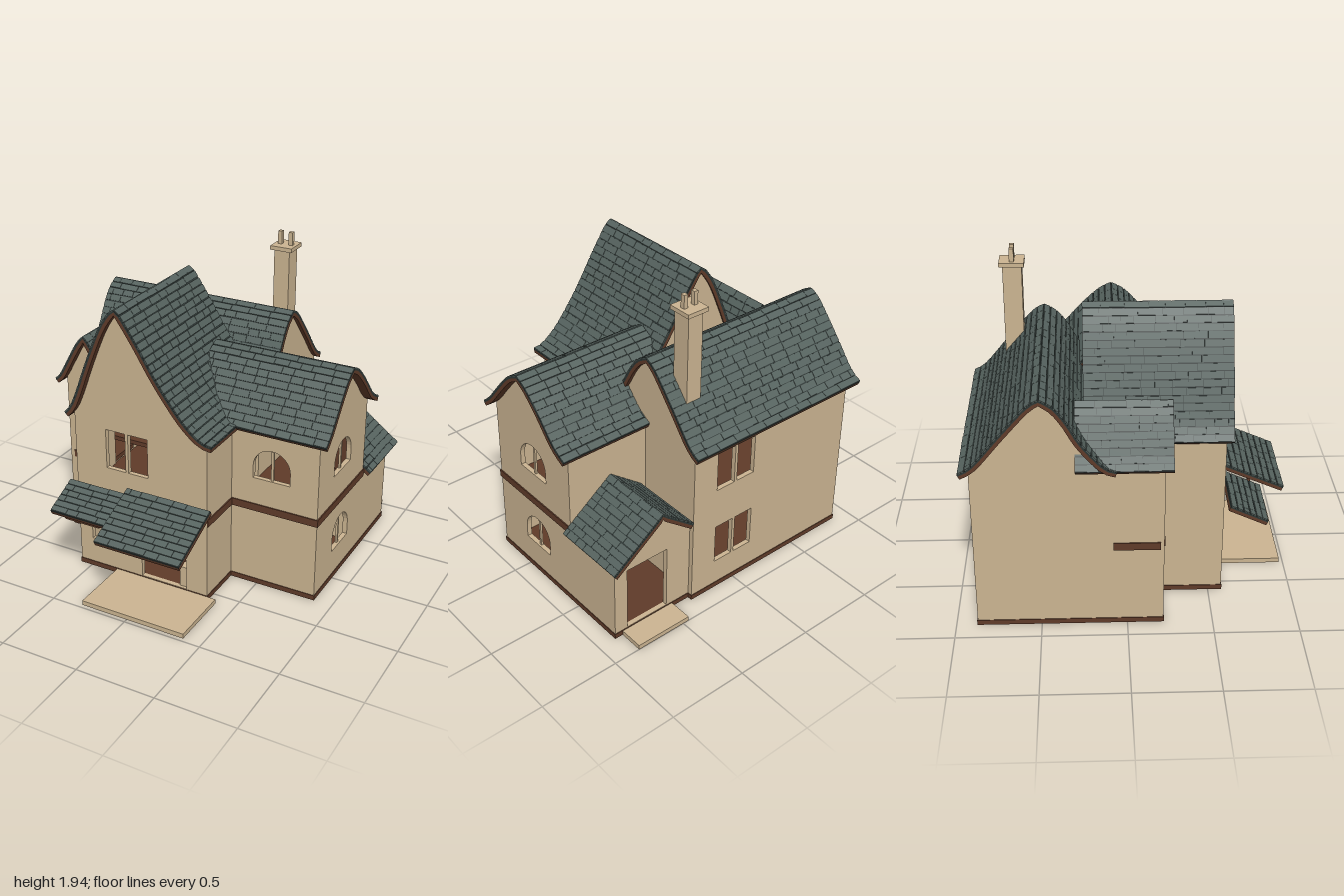
import * as THREE from 'three';
import { mergeGeometries } from 'three/addons/utils/BufferGeometryUtils.js';

const mat = (name, color) => Object.assign(new THREE.MeshStandardMaterial({ color }), { name });

export function createModel() {
  const house = new THREE.Group();
  house.name = 'house';
  const stone = mat('tan stone', 0xcbb491);
  const timber = mat('brown timber', 0x5f3b29);
  const slate = mat('slate', 0x56635f);
  const joint = mat('dark slate joint', 0x2e3735);

  let seed = 7;
  const rand = () => (seed = (seed * 16807) % 2147483647) / 2147483647;

  const add = (name, geo, material, parent = house) => {
    const m = new THREE.Mesh(geo, material);
    m.name = name;
    parent.add(m);
    return m;
  };
  // box given by its limits
  const box = (name, x0, x1, y0, y1, z0, z1, material) =>
    add(name, new THREE.BoxGeometry(x1 - x0, y1 - y0, z1 - z0), material)
      .position.set((x0 + x1) / 2, (y0 + y1) / 2, (z0 + z1) / 2);

  // ---- roofs: profile in (across, height), swept along x or z ----
  const sample = (profile) => {
    const v = profile.map(p => new THREE.Vector2(...p));
    const top = v.reduce((best, p, i) => (p.y > v[best].y ? i : best), 0);
    const out = [];
    for (const side of [v.slice(0, top + 1), v.slice(top)]) {
      if (side.length < 2) continue;
      const curve = new THREE.SplineCurve(side);
      const pts = curve.getSpacedPoints(Math.round(curve.getLength() / 0.045));
      out.push(...(out.length ? pts.slice(1) : pts));
    }
    return out;
  };
  const offset = (pts, d) => pts.map((p, i) => {
    const a = pts[Math.max(i - 1, 0)], b = pts[Math.min(i + 1, pts.length - 1)];
    const t = b.clone().sub(a).normalize();
    return new THREE.Vector2(p.x - t.y * d, p.y + t.x * d);
  });
  const ribbon = (pts, d0, d1, a, b) =>
    new THREE.ExtrudeGeometry(new THREE.Shape([...offset(pts, d0), ...offset(pts, d1).reverse()]),
      { depth: b - a, bevelEnabled: false }).translate(0, 0, a);

  const roof = (name, pts, axis, from, to) => {
    const g = new THREE.Group();
    g.name = name;
    const [a, b] = axis === 'x' ? [-to, -from] : [from, to];
    if (axis === 'x') g.rotation.y = -Math.PI / 2;
    add('roofBoards', ribbon(pts, -0.035, -0.014, a, b), timber, g);
    add('tileJoints', ribbon(pts, -0.014, -0.003, a, b), joint, g);
    const tiles = [];
    for (let i = 0; i < pts.length - 1; i++) {
      const p = pts[i], q = pts[i + 1];
      const len = p.distanceTo(q), ang = Math.atan2(q.y - p.y, q.x - p.x);
      for (let s = a; s < b - 0.001;) {
        let e = s + 0.07 + 0.08 * rand();
        if (e > b - 0.03) e = b;
        const slip = (rand() - 0.5) * 0.004;
        tiles.push(new THREE.BoxGeometry(len - 0.006, 0.009, e - s - 0.002)
          .translate(slip, -0.002, 0).rotateZ(ang)
          .translate((p.x + q.x) / 2, (p.y + q.y) / 2, (s + e) / 2));
        s = e;
      }
    }
    add('tiles', mergeGeometries(tiles), slate, g);
    house.add(g);
  };

  const backP = sample([[-0.93, 1.06], [-0.85, 1.11], [-0.7, 1.29], [-0.55, 1.46], [-0.475, 1.505],
    [-0.4, 1.46], [-0.33, 1.37], [-0.25, 1.23], [-0.13, 1.09], [-0.06, 1.06]]);
  const frontP = sample([[-0.62, 1.055], [-0.575, 1.11], [-0.53, 1.21], [-0.45, 1.42], [-0.36, 1.63],
    [-0.29, 1.74], [-0.25, 1.77], [-0.21, 1.74], [-0.1, 1.58], [0, 1.42], [0.1, 1.28], [0.2, 1.16],
    [0.3, 1.08], [0.37, 1.065]]);
  const wingP = sample([[-0.48, 1.06], [-0.38, 1.12], [-0.25, 1.26], [-0.13, 1.37], [-0.05, 1.41],
    [0.04, 1.36], [0.15, 1.24], [0.25, 1.12], [0.32, 1.06]]);
  const smallP = sample([[-0.94, 1.06], [-0.9, 1.1], [-0.85, 1.19], [-0.77, 1.33], [-0.72, 1.385],
    [-0.67, 1.33], [-0.61, 1.2], [-0.56, 1.1]]);
  roof('backRoof', backP, 'x', -0.94, 0.355);
  roof('frontGableRoof', frontP, 'z', -0.24, 0.62);
  roof('sideWingRoof', wingP, 'x', 0.04, 0.935);
  roof('smallGableRoof', smallP, 'z', -0.29, 0.255);
  roof('backPorchRoof', sample([[0.36, 0.62], [0.59, 0.8], [0.935, 0.54]]), 'z', -0.915, -0.44);
  roof('doorCanopy', sample([[0.62, 0.655], [0.995, 0.49]]), 'x', -0.195, 0.365);
  roof('windowCanopy', sample([[0.62, 0.61], [0.845, 0.505]]), 'x', -0.6, -0.2);

  // ---- walls: panels with openings, 0.03 thick ----
  const T = 0.03;
  const rect = (u0, u1, y0, y1) => [[u0, y0], [u1, y0], [u1, y1], [u0, y1]];
  const arch = (u0, u1, y0, y1) => {
    const r = (u1 - u0) / 2, out = [[u0, y0], [u1, y0]];
    for (let i = 0; i <= 16; i++) {
      const t = Math.PI * i / 16;
      out.push([(u0 + u1) / 2 + r * Math.cos(t), y1 - r + r * Math.sin(t)]);
    }
    return out;
  };
  const gable = (pts, u0, u1, y0) => {
    const out = [[u0, y0], [u1, y0]];
    const at = (u) => {
      const i = Math.max(1, pts.findIndex(p => p.x >= u));
      const p = pts[i - 1], q = pts[i];
      return p.y + (q.y - p.y) * (u - p.x) / (q.x - p.x) - 0.03;
    };
    out.push([u1, at(u1)]);
    for (const p of [...pts].reverse()) if (p.x > u0 + 0.005 && p.x < u1 - 0.005) out.push([p.x, p.y - 0.03]);
    out.push([u0, at(u0)]);
    return out;
  };
  const v2 = (list) => list.map(p => new THREE.Vector2(...p));
  // "from" is the lower coordinate of the panel along its axis
  const wall = (name, axis, from, outline, holes = []) => {
    const shape = new THREE.Shape(v2(outline));
    shape.holes = holes.map(h => new THREE.Path(v2(h)));
    const geo = new THREE.ExtrudeGeometry(shape, { depth: T, bevelEnabled: false });
    if (axis === 'x') geo.translate(0, 0, -from - T).rotateY(-Math.PI / 2);
    else geo.translate(0, 0, from);
    add(name, geo, stone);
  };
  const pair = (u0, u1, y0, y1) => {
    const m = (u0 + u1) / 2;
    return [rect(u0, m - 0.01, y0, y1), rect(m + 0.01, u1, y0, y1)];
  };
  wall('frontWall', 'z', 0.55, gable(frontP, -0.575, 0.32, 0.02),
    [...pair(-0.36, -0.075, 0.73, 0.985), ...pair(-0.485, -0.2, 0.2, 0.46), rect(-0.13, 0.18, 0.035, 0.465)]);
  wall('frontGableBack', 'z', -0.23, gable(frontP, -0.575, 0.32, 1.04));
  wall('frontBlockLeftWall', 'x', 0.29, rect(0.2, 0.58, 0.02, 1.06));
  wall('frontBlockRightWall', 'x', -0.575, rect(0.2, 0.58, 0.02, 1.07));
  wall('smallGableWall', 'z', 0.18, gable(smallP, -0.88, -0.565, 0.02));
  wall('smallGableSide', 'x', -0.88, rect(-0.1, 0.21, 0.02, 1.08));
  wall('backWall', 'z', -0.875, rect(-0.88, 0.33, 0.02, 1.06),
    [...pair(-0.13, 0.155, 0.2, 0.46), ...pair(-0.13, 0.155, 0.73, 0.985)]);
  wall('backWingRightEnd', 'x', -0.88, gable(backP, -0.875, -0.07, 0.02));
  wall('backWingLeftEnd', 'x', 0.3, gable(backP, -0.875, -0.07, 0.02));
  wall('sideWingFront', 'z', 0.24, rect(0.3, 0.88, 0.02, 1.07), [arch(0.46, 0.7, 0.73, 0.93)]);
  wall('sideWingBack', 'z', -0.44, rect(0.32, 0.88, 0.02, 1.06));
  wall('sideWingEnd', 'x', 0.85, gable(wingP, -0.44, 0.27, 0.02),
    [arch(-0.21, 0.04, 0.73, 0.93), arch(-0.22, 0.02, 0.2, 0.405)]);
  wall('porchBack', 'z', -0.845, [[0.32, 0.02], [0.88, 0.02], [0.88, 0.555], [0.59, 0.77], [0.32, 0.57]],
    [rect(0.5, 0.79, 0.035, 0.46)]);
  wall('porchSide', 'x', 0.85, rect(-0.84, -0.43, 0.02, 0.555));

  // mullions of the arched windows
  box('frontMullion', 0.572, 0.588, 0.73, 0.92, 0.245, 0.258, stone);
  for (const [z, y0, y1] of [[-0.085, 0.73, 0.92], [-0.1, 0.2, 0.4]])
    box('sideMullion', 0.855, 0.868, y0, y1, z - 0.008, z + 0.008, stone);

  // ---- base, floors and ceilings for each block: x0, x1, z0, z1 ----
  const blocks = [[-0.88, 0.33, -0.875, -0.1], [0.3, 0.88, -0.44, 0.27],
    [-0.575, 0.32, -0.1, 0.58], [-0.88, -0.57, -0.1, 0.21]];
  for (const [x0, x1, z0, z1] of blocks) {
    box('plinth', x0 - 0.004, x1 + 0.004, 0, 0.032, z0 - 0.004, z1 + 0.004, timber);
    box('upperFloor', x0 + 0.02, x1 - 0.02, 0.5, 0.53, z0 + 0.02, z1 - 0.02, timber);
    box('ceiling', x0 + 0.02, x1 - 0.02, 1.03, 1.04, z0 + 0.02, z1 - 0.02, stone);
  }
  box('porchPlinth', 0.33, 0.884, 0, 0.032, -0.849, -0.44, timber);
  box('frontStep', -0.31, 0.38, 0, 0.03, 0.585, 0.975, stone);
  box('backStep', 0.46, 0.83, 0, 0.03, -1, -0.85, stone);

  // ---- timber band between the storeys ----
  box('bandWingFront', 0.32, 0.886, 0.51, 0.557, 0.265, 0.277, timber);
  box('bandWingEnd', 0.875, 0.887, 0.51, 0.557, -0.44, 0.277, timber);
  box('bandFrontBlock', 0.315, 0.327, 0.51, 0.557, 0.27, 0.578, timber);
  box('bandSmallFront', -0.85, -0.575, 0.51, 0.557, 0.205, 0.217, timber);
  box('bandSmallSide', -0.887, -0.875, 0.51, 0.557, -0.08, 0.19, timber);

  // ---- things inside and under the canopies ----
  box('porchDoor', 0.52, 0.76, 0.03, 0.44, -0.449, -0.44, timber);
  box('upperInnerDoor', 0.4, 0.78, 0.53, 0.865, -0.41, -0.402, timber);
  for (let i = 0; i < 9; i++)
    box('stair', -0.48, -0.36, 0.03, 0.08 + i * 0.05, 0.3 - i * 0.045, 0.345 - i * 0.045, timber);
  box('doorSideBlock', 0.125, 0.17, 0.03, 0.17, 0.5, 0.56, stone);
  for (const x of [-0.145, 0.2]) box('canopyBracket', x - 0.008, x + 0.008, 0.45, 0.56, 0.77, 0.79, timber);
  box('windowCanopyBeam', -0.52, -0.28, 0.45, 0.475, 0.79, 0.81, timber);

  // ---- chimney ----
  box('chimneyStack', 0.155, 0.257, 1.1, 1.84, -0.71, -0.595, stone);
  box('chimneyCap', 0.133, 0.277, 1.832, 1.858, -0.73, -0.58, stone);
  for (const x of [0.17, 0.241]) box('chimneyPot', x - 0.013, x + 0.013, 1.85, 1.94, -0.668, -0.64, stone);

  return house;
}
